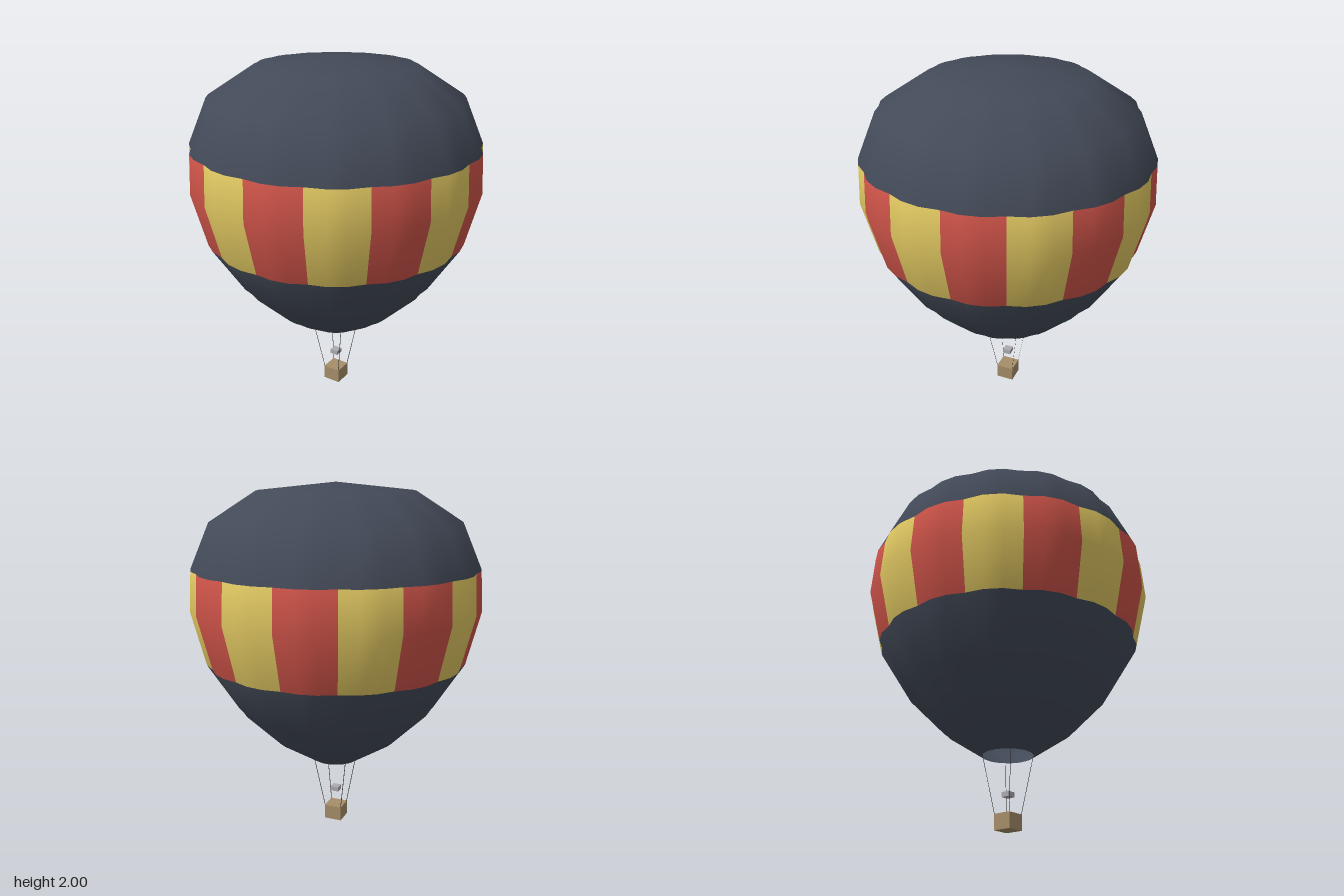
import * as THREE from 'three';

const GORES = 16, PER_GORE = 3, COLS = GORES * PER_GORE;

// seam profile from mouth to crown: [radius, height]
const PROFILE = [
  [0.139, 0.4], [0.355, 0.545], [0.557, 0.75], [0.725, 1.02], [0.799, 1.32],
  [0.786, 1.54], [0.68, 1.79], [0.427, 1.955], [0, 2],
];
const BAND = [3, 4]; // profile rows covered by the coloured stripes

function material(color, side = THREE.FrontSide) {
  return new THREE.MeshStandardMaterial({ color, side });
}

// One smooth lobed skin, divided into coloured parts that share its vertices
function createEnvelope() {
  const positions = [];
  const top = PROFILE.length - 1;
  PROFILE.forEach(([radius, y], row) => {
    for (let col = 0; col < (row === top ? 1 : COLS); col++) {
      const angle = (col / COLS) * Math.PI * 2;
      const r = radius * (1 + 0.022 * Math.abs(Math.sin(angle * GORES / 2)));
      positions.push(r * Math.sin(angle), y, r * Math.cos(angle));
    }
  });
  const vertex = (row, col) => (row === top ? top * COLS : row * COLS + (col % COLS));

  const parts = {
    envelope: { color: 0x434a58, index: [] },
    redStripes: { color: 0xcf5449, index: [] },
    yellowStripes: { color: 0xe2c962, index: [] },
  };
  const all = [];
  for (let row = 0; row < top; row++) {
    for (let col = 0; col < COLS; col++) {
      const a = vertex(row, col), b = vertex(row, col + 1);
      const c = vertex(row + 1, col + 1), d = vertex(row + 1, col);
      const faces = row === top - 1 ? [a, b, c] : [a, b, c, a, c, d];
      const stripe = Math.floor(col / PER_GORE) % 2 ? 'yellowStripes' : 'redStripes';
      parts[BAND.includes(row) ? stripe : 'envelope'].index.push(...faces);
      all.push(...faces);
    }
  }

  const skin = new THREE.BufferGeometry();
  skin.setAttribute('position', new THREE.Float32BufferAttribute(positions, 3));
  skin.setIndex(all);
  skin.computeVertexNormals();

  const group = new THREE.Group();
  group.name = 'balloon';
  for (const [name, { color, index }] of Object.entries(parts)) {
    const geometry = skin.clone();
    geometry.setIndex(index);
    const mesh = new THREE.Mesh(geometry, material(color, THREE.DoubleSide));
    mesh.name = name;
    group.add(mesh);
  }
  return group;
}

// Flat thin ribbon from a basket corner to the mouth rim
function createRope(sx, sz) {
  const w = 0.002;
  const [x0, y0, z0] = [sx * 0.05, 0.083, sz * 0.05];
  const [x1, y1, z1] = [sx * 0.098, 0.402, sz * 0.098];
  const geometry = new THREE.BufferGeometry();
  geometry.setAttribute('position', new THREE.Float32BufferAttribute([
    x0 - w, y0, z0, x0 + w, y0, z0, x1 + w, y1, z1, x1 - w, y1, z1,
  ], 3));
  geometry.setIndex([0, 1, 2, 0, 2, 3]);
  geometry.computeVertexNormals();
  const rope = new THREE.Mesh(geometry, material(0x333333, THREE.DoubleSide));
  rope.name = 'rope';
  return rope;
}

function createBox(name, width, height, y, color) {
  const mesh = new THREE.Mesh(new THREE.BoxGeometry(width, height, width), material(color));
  mesh.name = name;
  mesh.position.y = y;
  return mesh;
}

export function createModel() {
  const model = new THREE.Group();
  model.name = 'hotAirBalloon';
  model.add(createEnvelope());

  // basket and burner
  model.add(createBox('basket', 0.104, 0.085, 0.0425, 0xa58d69));
  model.add(createBox('burner', 0.048, 0.027, 0.188, 0xaaaaaf));

  // four ropes
  const ropes = new THREE.Group();
  ropes.name = 'ropes';
  for (const sx of [-1, 1]) for (const sz of [-1, 1]) ropes.add(createRope(sx, sz));
  model.add(ropes);
  return model;
}
